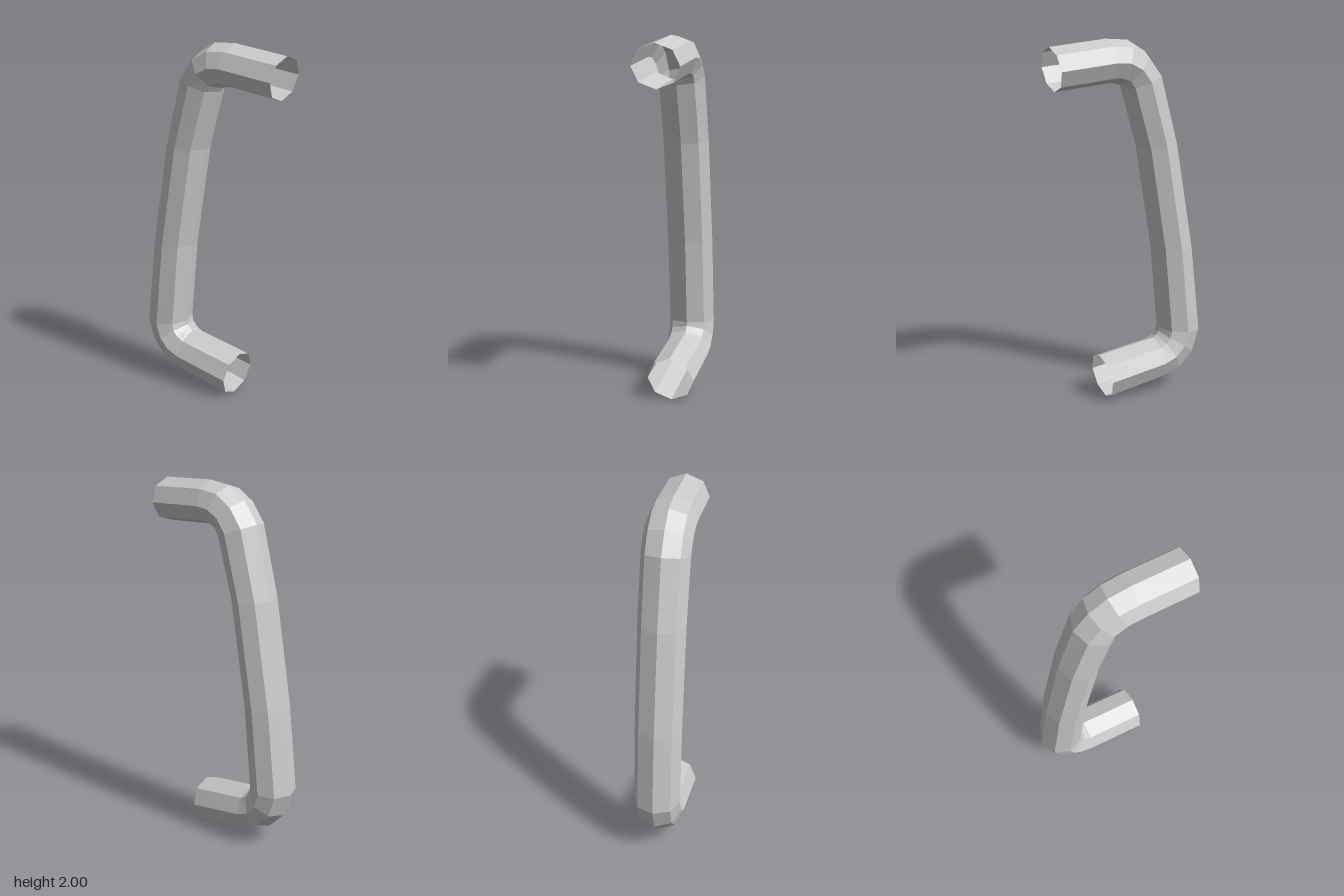
import * as THREE from 'three';

// Outer and inner bend points of each section along the bar: [outerX, outerY, innerX, innerY]
const SECTIONS = [
  [0.45, 1.97, 0.42, 1.735],
  [0.127, 2.0, 0.1, 1.765],
  [-0.005, 1.99, 0.074, 1.762],
  [-0.11, 1.925, 0.04, 1.752],
  [-0.196, 1.81, 0.026, 1.728],
  [-0.296, 1.42, -0.07, 1.4],
  [-0.397, 0.823, -0.164, 0.823],
  [-0.45, 0.336, -0.206, 0.352],
  [-0.402, 0.198, -0.203, 0.33],
  [-0.312, 0.103, -0.19, 0.312],
  [-0.19, 0.06, -0.17, 0.297],
  [0.132, 0.0, 0.17, 0.246],
];
const SIDES = 8;
const DEPTH = 0.131; // half depth in z

// Open-ended octagonal tube lofted through the sections
function loft(sections) {
  const positions = [];
  const indices = [];
  sections.forEach(([ox, oy, ix, iy], s) => {
    for (let k = 0; k < SIDES; k++) {
      const a = (k / SIDES) * Math.PI * 2;
      const t = (1 + Math.cos(a)) / 2;
      positions.push(ix + (ox - ix) * t, iy + (oy - iy) * t, Math.sin(a) * DEPTH);
      if (s === 0) continue;
      const n = (k + 1) % SIDES;
      const p = (s - 1) * SIDES;
      const q = s * SIDES;
      indices.push(p + k, q + k, p + n, p + n, q + k, q + n);
    }
  });
  const geometry = new THREE.BufferGeometry();
  geometry.setAttribute('position', new THREE.Float32BufferAttribute(positions, 3));
  geometry.setIndex(indices);
  const flat = geometry.toNonIndexed();
  flat.computeVertexNormals();
  return flat;
}

export function createModel() {
  const group = new THREE.Group();
  group.name = 'handle';
  const material = new THREE.MeshStandardMaterial({
    color: 0xcccccc,
    flatShading: true,
    side: THREE.DoubleSide,
  });
  const bar = new THREE.Mesh(loft(SECTIONS), material);
  bar.name = 'handleBar';
  group.add(bar);
  return group;
}
